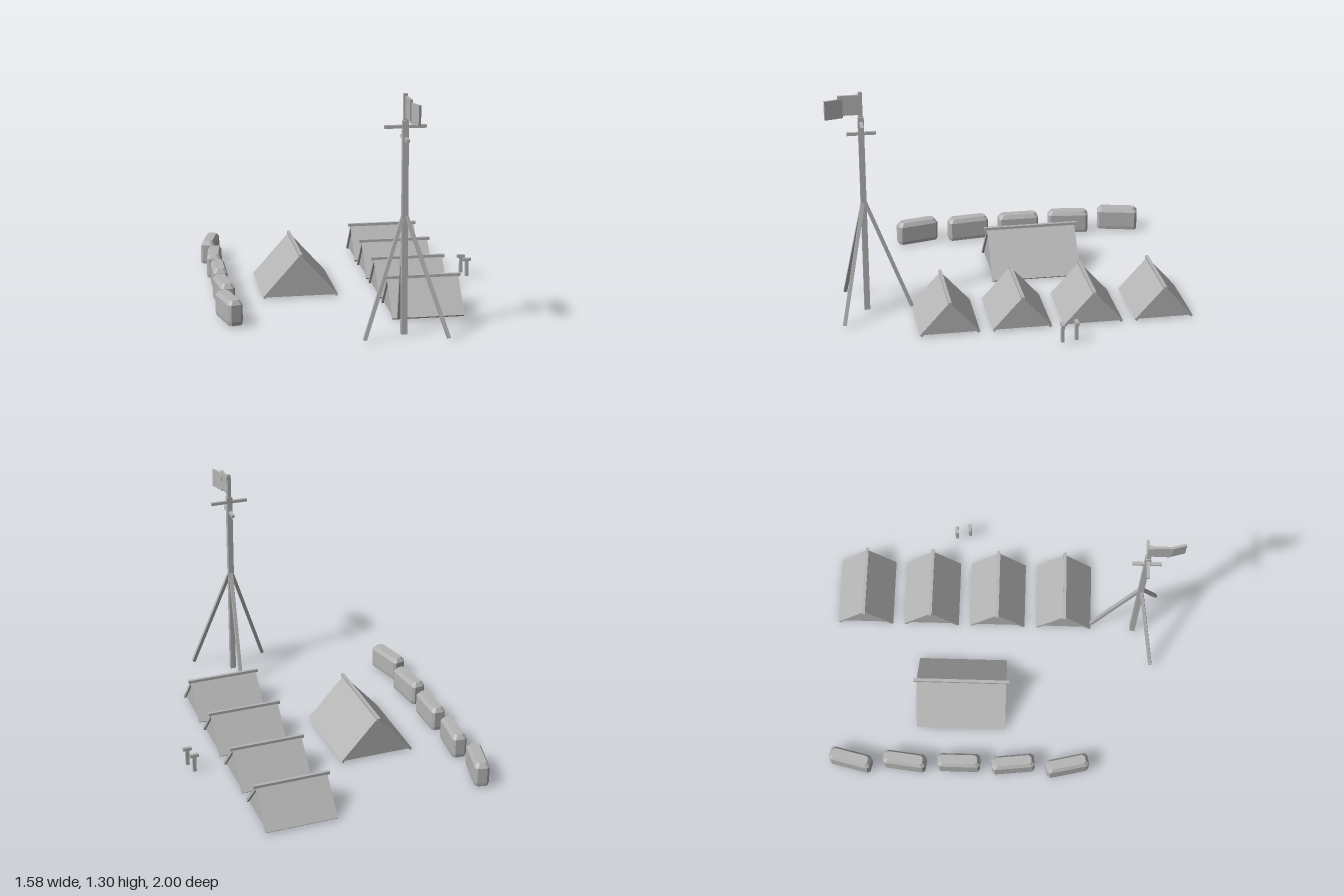
import * as THREE from 'three';

const canvasGrey = new THREE.MeshStandardMaterial({ color: 0xb4b4b4, flatShading: true });
canvasGrey.name = 'grey';
canvasGrey.side = THREE.DoubleSide;

function box(name, w, h, d, x, y, z) {
  const m = new THREE.Mesh(new THREE.BoxGeometry(w, h, d), canvasGrey);
  m.name = name;
  m.position.set(x, y, z);
  return m;
}

// Rectangular beam running from a to b
function beam(name, a, b, w, d) {
  const from = new THREE.Vector3(...a), to = new THREE.Vector3(...b);
  const dir = to.clone().sub(from);
  const m = box(name, w, dir.length(), d, 0, 0, 0);
  m.position.copy(from).add(to).multiplyScalar(0.5);
  m.quaternion.setFromUnitVectors(new THREE.Vector3(0, 1, 0), dir.normalize());
  return m;
}

// Ridge tent, ridge along z, open underneath
function tent(name, halfWidth, height, length, poleLength) {
  const g = new THREE.Group();
  g.name = name;
  for (const s of [-1, 1]) {
    const panel = beam('roofPanel', [s * (halfWidth - 0.006), 0.006, 0], [0, height - 0.008, 0], 0.015, length);
    g.add(panel);
    // closed gable, set slightly inside the roof ends
    const tri = new THREE.Shape([
      new THREE.Vector2(-halfWidth + 0.012, 0.008),
      new THREE.Vector2(halfWidth - 0.012, 0.008),
      new THREE.Vector2(0, height - 0.012),
    ]);
    const gable = new THREE.Mesh(new THREE.ShapeGeometry(tri), canvasGrey);
    gable.name = 'gable';
    gable.position.z = s * (length / 2 - 0.012);
    g.add(gable);
  }
  g.add(box('ridgePole', 0.018, 0.018, poleLength, 0, height, 0));
  return g;
}

// Sandbag: stacked chamfered outlines, closed on top and open below
function sandbag() {
  const rings = [[0.038, 0.122, 0.01], [0.041, 0.125, 0.03], [0.041, 0.125, 0.125], [0.027, 0.108, 0.149]];
  const pos = [], idx = [];
  for (const [w, l, y] of rings) {
    const c = 0.014;
    const outline = [[w, l - c], [w, c - l], [w - c, -l], [c - w, -l], [-w, c - l], [-w, l - c], [c - w, l], [w - c, l]];
    for (const [x, z] of outline) pos.push(x, y, z);
  }
  for (let r = 0; r < rings.length - 1; r++) {
    for (let i = 0; i < 8; i++) {
      const a = r * 8 + i, b = r * 8 + (i + 1) % 8;
      idx.push(a, b, b + 8, a, b + 8, a + 8);
    }
  }
  const top = (rings.length - 1) * 8;
  for (let i = 1; i < 7; i++) idx.push(top, top + i, top + i + 1);
  const geo = new THREE.BufferGeometry();
  geo.setAttribute('position', new THREE.Float32BufferAttribute(pos, 3));
  geo.setIndex(idx);
  geo.computeVertexNormals();
  const m = new THREE.Mesh(geo, canvasGrey);
  m.name = 'sandbag';
  return m;
}

export function createModel() {
  const model = new THREE.Group();
  model.name = 'camp';

  // Large tent
  const large = tent('largeTent', 0.218, 0.252, 0.53, 0.565);
  large.position.set(-0.28, 0, -0.225);
  model.add(large);

  // Row of small tents
  for (const z of [-0.833, -0.43, -0.027, 0.378]) {
    const t = tent('smallTent', 0.168, 0.196, 0.405, 0.432);
    t.rotation.y = Math.PI / 2;
    t.position.set(0.36, 0, z);
    model.add(t);
  }

  // Curved sandbag wall
  for (let i = 0; i < 5; i++) {
    const bag = sandbag();
    bag.position.set(-0.727, 0, -0.865 + i * 0.319);
    bag.rotation.y = (i - 2) * 0.115;
    model.add(bag);
  }

  // Signal mast with stays and cross arms
  const mast = new THREE.Group();
  mast.name = 'mast';
  const mx = 0.168, mz = 0.8;
  mast.add(box('mastPole', 0.032, 1.155, 0.032, mx, 0.583, mz));
  mast.add(box('topPole', 0.022, 0.16, 0.022, mx, 1.222, mz));
  mast.add(box('upperArm', 0.222, 0.017, 0.018, mx, 1.128, mz));
  mast.add(box('lowerArm', 0.017, 0.017, 0.16, mx, 1.065, mz));
  for (const foot of [[-0.062, 0.016, 0.908], [0.382, 0.016, 0.943], [0.192, 0.016, 0.548]]) {
    mast.add(beam('stay', foot, [mx, 0.68, mz], 0.02, 0.02));
  }

  // Two-part flag bent by the wind
  mast.add(box('flagInner', 0.014, 0.112, 0.125, mx + 0.005, 1.232, 0.86));
  const outer = box('flagOuter', 0.014, 0.107, 0.102, 0.188, 1.217, 0.947);
  outer.rotation.y = 0.28;
  mast.add(outer);
  model.add(mast);

  // Two T-shaped posts
  for (const [x, z] of [[0.743, -0.293], [0.76, -0.212]]) {
    const post = new THREE.Group();
    post.name = 'post';
    post.add(box('postStem', 0.02, 0.095, 0.018, x, 0.06, z));
    post.add(box('postCap', 0.049, 0.018, 0.02, x, 0.113, z));
    model.add(post);
  }
  return model;
}
